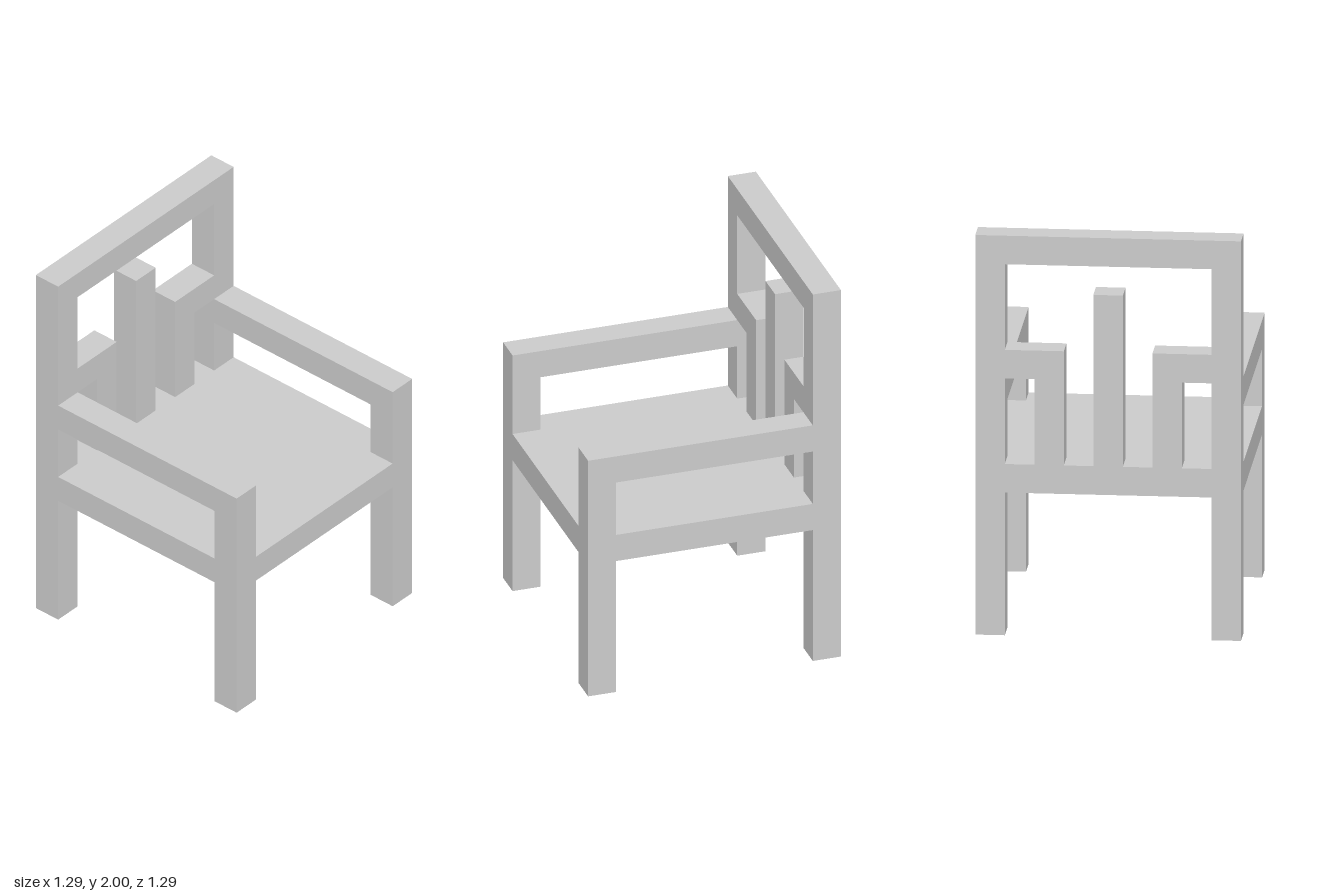
import * as THREE from 'three';

// The chair sits on a square module: 9 wide, 9 deep, 14 high.
const U = 1 / 7;
const material = new THREE.MeshStandardMaterial({ color: 0xcccccc, flatShading: true });

// Box given by its extents in modules: [min, max] on each axis.
function block(name, [x0, x1], [y0, y1], [z0, z1]) {
  const geometry = new THREE.BoxGeometry((x1 - x0) * U, (y1 - y0) * U, (z1 - z0) * U);
  const mesh = new THREE.Mesh(geometry, material);
  mesh.name = name;
  mesh.position.set((x0 + x1) / 2 * U, (y0 + y1) / 2 * U, (z0 + z1) / 2 * U);
  return mesh;
}

export function createModel() {
  const chair = new THREE.Group();
  chair.name = 'armchair';
  const back = [-4.5, -3.5];
  const front = [3.5, 4.5];

  // Seat slab and the back's top rail and centre slat
  chair.add(
    block('seat', [-4.5, 4.5], [5, 6], [-4.5, 4.5]),
    block('topRail', [-3.5, 3.5], [13, 14], back),
    block('centreSlat', [-0.5, 0.5], [6, 12], back)
  );

  // Parts mirrored on both sides
  for (const [side, s] of [['left', 1], ['right', -1]]) {
    const span = (a, b) => (s > 0 ? [a, b] : [-b, -a]);
    const outer = span(3.5, 4.5);
    chair.add(
      block(side + 'FrontLeg', outer, [0, 5], front),
      block(side + 'BackLeg', outer, [0, 5], back),
      block(side + 'BackPost', outer, [6, 14], back),
      block(side + 'ArmPost', outer, [6, 8], front),
      block(side + 'Armrest', outer, [8, 9], [-3.5, 4.5]),
      // Bent slat: an upright with a short rail to the back post
      block(side + 'SlatUpright', span(1.5, 2.5), [6, 10], back),
      block(side + 'SlatRail', span(2.5, 3.5), [9, 10], back)
    );
  }
  return chair;
}
